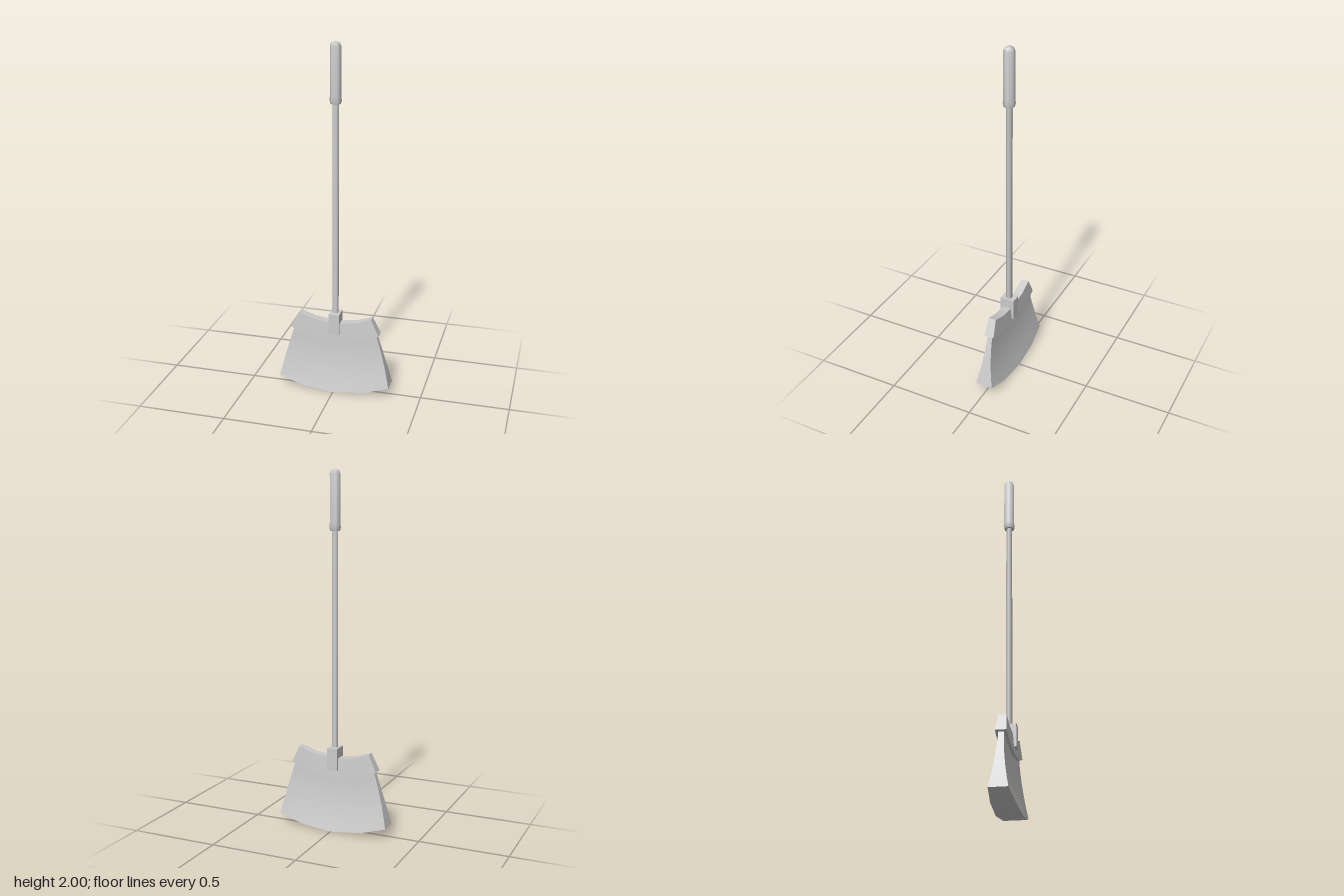
import * as THREE from 'three';
import { toCreasedNormals } from 'three/addons/utils/BufferGeometryUtils.js';

const material = new THREE.MeshStandardMaterial({ color: 0xcccccc });
const FAN_Y = 0.93; // common centre of the head's curved edges
const STEPS = [-1, -0.56, 0, 0.56, 1];

// Fan-shaped solid: rows run from top to bottom, each with a radius,
// half angle (degrees) and half thickness at the middle and at the ends.
function fanSolid(rows, crease) {
  const pos = [];
  const rings = rows.map(({ r, angle, zMid, zEnd }) => {
    const side = (s) => STEPS.map((t) => {
      const a = THREE.MathUtils.degToRad(angle * t);
      const z = zMid + (zEnd - zMid) * t * t;
      return [r * Math.sin(a), FAN_Y - r * Math.cos(a), s * z];
    });
    return [...side(1), ...side(-1).reverse()];
  });
  const quad = (a, b, c, d) => pos.push(...a, ...b, ...c, ...a, ...c, ...d);
  const n = STEPS.length * 2;
  // walls
  for (let k = 0; k < rings.length - 1; k++) {
    const top = rings[k], low = rings[k + 1];
    for (let i = 0; i < n; i++) {
      const j = (i + 1) % n;
      quad(low[i], low[j], top[j], top[i]);
    }
  }
  // top and bottom caps
  const first = rings[0], last = rings[rings.length - 1];
  for (let i = 0; i < STEPS.length - 1; i++) {
    const bi = n - 1 - i;
    quad(first[i], first[i + 1], first[bi - 1], first[bi]);
    quad(last[bi], last[bi - 1], last[i + 1], last[i]);
  }
  const g = new THREE.BufferGeometry();
  g.setAttribute('position', new THREE.Float32BufferAttribute(pos, 3));
  return toCreasedNormals(g, crease);
}

export function createModel() {
  const group = new THREE.Group();
  const add = (name, geometry, y = 0) => {
    const mesh = new THREE.Mesh(geometry, material);
    mesh.name = name;
    mesh.position.y = y;
    group.add(mesh);
  };

  // Bristles flare outward toward the floor
  const rows = [];
  for (let i = 0; i <= 6; i++) {
    const t = i / 6, flare = Math.pow(t, 1.8);
    rows.push({
      r: 0.6 + 0.325 * t,
      angle: 23.2 - 2.8 * t,
      zMid: 0.016 + 0.053 * flare,
      zEnd: 0.014 + 0.036 * flare,
    });
  }
  add('bristles', fanSolid(rows, 0.6));

  // Curved band that clamps the bristles
  add('headBand', fanSolid([
    { r: 0.51, angle: 24.4, zMid: 0.025, zEnd: 0.022 },
    { r: 0.615, angle: 24.6, zMid: 0.033, zEnd: 0.029 },
  ], 0.6));

  // Socket block joining pole and head
  add('socket', new THREE.BoxGeometry(0.06, 0.125, 0.084), 0.418);

  // Hexagonal pole
  const pole = new THREE.CylinderGeometry(0.018, 0.018, 1.26, 6);
  pole.rotateY(Math.PI / 6);
  add('pole', toCreasedNormals(pole, 1.1), 1.07);

  // Hexagonal grip with a flared lower lip and a rounded end
  const profile = [
    [0, 1.675], [0.029, 1.675], [0.034, 1.695], [0.031, 1.715],
    [0.031, 1.975], [0.024, 1.993], [0, 2],
  ].map(([x, y]) => new THREE.Vector2(x, y));
  const grip = new THREE.LatheGeometry(profile, 6, Math.PI / 6);
  add('grip', toCreasedNormals(grip, 1.1));

  return group;
}
